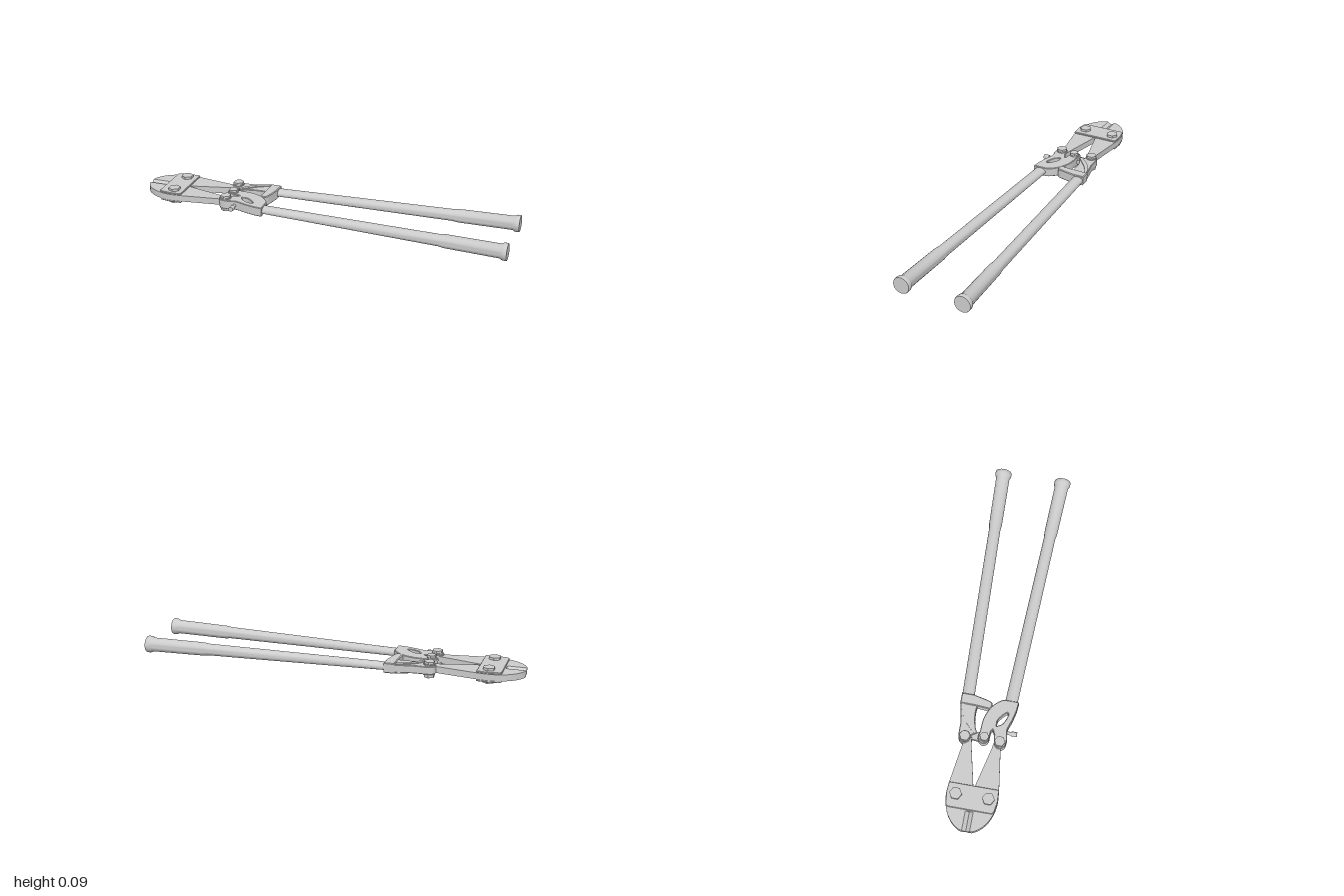
import * as THREE from 'three';
import { toCreasedNormals } from 'three/addons/utils/BufferGeometryUtils.js';

const MID = 0.046; // height of the symmetry plane
const grey = new THREE.MeshStandardMaterial({ color: 0xcccccc });

function part(name, geometry, parent) {
  const mesh = new THREE.Mesh(toCreasedNormals(geometry, 0.6), grey);
  mesh.name = name;
  parent.add(mesh);
  return mesh;
}

// Flat piece from an outline of [x, z] points, from height y0 to y1
function plate(points, y0, y1, { bevel = 0, hole = null, side = 1 } = {}) {
  const vec = (list) => list.map(([x, z]) => new THREE.Vector2(x, -z * side));
  const shape = new THREE.Shape(vec(points));
  if (hole) {
    const loop = new THREE.SplineCurve(vec([...hole, hole[0]])).getPoints(20);
    shape.holes.push(new THREE.Path(loop));
  }
  const geometry = new THREE.ExtrudeGeometry(shape, {
    depth: y1 - y0 - 2 * bevel, bevelEnabled: bevel > 0, bevelSize: bevel,
    bevelThickness: bevel, bevelOffset: -bevel, bevelSegments: 1,
  });
  return geometry.rotateX(-Math.PI / 2).translate(0, y0 + bevel, 0);
}

const centred = (points, half, options) => plate(points, MID - half, MID + half, options);

// Smooth run through a few [x, z] points
const curve = (points, n = 16) =>
  new THREE.SplineCurve(points.map((p) => new THREE.Vector2(...p))).getPoints(n).map((p) => [p.x, p.y]);

// Pivot bolt: shank with a hexagonal head and nut
function bolt(name, x, z, radius, half, head, parent) {
  const group = new THREE.Group();
  group.name = name;
  part('shank', new THREE.CylinderGeometry(radius * 0.7, radius * 0.7, 2 * half - head, 16), group);
  for (const s of [-1, 1]) {
    part('boltHead', new THREE.CylinderGeometry(radius, radius, head, 6), group).position.y = s * (half - head / 2);
    part('washer', new THREE.CylinderGeometry(radius * 1.05, radius * 1.05, 0.006, 20), group)
      .position.y = s * (half - head - 0.003);
  }
  group.position.set(x, MID, z);
  parent.add(group);
}

// Tubular handle, flattened towards the socket, with grip and end flange
function handle(name, zStart, zEnd, parent) {
  const xStart = -0.31, xGrip = 0.66;
  const profile = [[0, 0], [0.032, 0], [0.031, 0.96], [0.035, 0.99], [0.037, 1.275],
    [0.043, 1.285], [0.0445, 1.295], [0.0445, 1.307], [0.043, 1.31], [0, 1.31]];
  const geometry = new THREE.LatheGeometry(profile.map((p) => new THREE.Vector2(...p)), 24);
  geometry.rotateZ(-Math.PI / 2);
  const pos = geometry.attributes.position;
  for (let i = 0; i < pos.count; i++) {
    const x = pos.getX(i);
    const t = THREE.MathUtils.clamp(x / (xGrip - xStart), 0, 1);
    pos.setY(i, pos.getY(i) * THREE.MathUtils.lerp(0.62, 1, t));
    pos.setZ(i, pos.getZ(i) + zStart + (zEnd - zStart) * x / 1.31);
  }
  part(name, geometry, parent).position.set(xStart, MID, 0);
}

export function createModel() {
  const model = new THREE.Group();
  model.name = 'boltCutter';

  // Jaws: curved nose, tapering arm and a bevelled cutting edge
  const nose = curve([[-1, 0.02], [-0.995, 0.04], [-0.97, 0.075], [-0.93, 0.105],
    [-0.88, 0.124], [-0.83, 0.131], [-0.77, 0.127]], 20);
  const jawOutline = [...nose, [-0.56, 0.097], [-0.51, 0.105], [-0.495, 0.085], [-0.51, 0.06],
    [-0.56, 0.053], [-0.77, 0.004], [-0.785, 0], [-0.9, 0], [-0.9, 0.02]];
  for (const side of [1, -1]) {
    const tag = side > 0 ? 'front' : 'back';
    part(tag + 'Jaw', centred(jawOutline, 0.017, { side }), model);
    const edge = new THREE.Shape([[-0.02 * side, -0.017], [0, -0.003], [0, 0.003], [-0.02 * side, 0.017]]
      .map((p) => new THREE.Vector2(...p)));
    const wedge = new THREE.ExtrudeGeometry(edge, { depth: 0.1, bevelEnabled: false });
    part(tag + 'CuttingEdge', wedge.rotateY(Math.PI / 2), model).position.set(-1, MID, 0);
    bolt(tag + 'JawBolt', -0.825, 0.083 * side, 0.032, 0.04, 0.014, model);
  }

  // Joining plates above and below the jaws
  const joint = [[-0.895, -0.112], [-0.885, -0.122], [-0.83, -0.131], [-0.77, -0.127],
    [-0.77, 0.127], [-0.83, 0.131], [-0.885, 0.122], [-0.895, 0.112]];
  part('upperJoiningPlate', plate(joint, MID + 0.017, MID + 0.027, { bevel: 0.002 }), model);
  part('lowerJoiningPlate', plate(joint, MID - 0.027, MID - 0.017, { bevel: 0.002 }), model);

  // Back socket: arm, raised rib and thick stop block
  const backArm = [
    ...curve([[-0.51, -0.06], [-0.545, -0.07], [-0.56, -0.095], [-0.545, -0.12], [-0.51, -0.128],
      [-0.45, -0.13], [-0.36, -0.147]], 24),
    [-0.33, -0.147], [-0.33, -0.06], [-0.36, -0.06],
    ...curve([[-0.375, -0.062], [-0.42, -0.06], [-0.47, -0.048], [-0.495, -0.035]], 8)];
  part('backSocketArm', centred(backArm, 0.021, { bevel: 0.003 }), model);
  const rib = [...curve([[-0.505, -0.045], [-0.47, -0.085], [-0.42, -0.122], [-0.355, -0.147]], 12),
    ...curve([[-0.355, -0.13], [-0.41, -0.105], [-0.455, -0.07], [-0.49, -0.04]], 12)];
  part('backSocketRib', centred(rib, 0.026), model);
  const backBlock = [[-0.355, -0.15], [-0.3, -0.15], [-0.3, -0.085],
    ...curve([[-0.304, -0.07], [-0.312, -0.03], [-0.322, 0.005], [-0.332, 0.014]], 8),
    [-0.355, 0.014], [-0.362, 0.004], [-0.357, -0.06]];
  part('backSocketBlock', centred(backBlock, 0.027, { bevel: 0.004 }), model);
  part('centreTongue', centred([[-0.53, -0.07], [-0.49, -0.06], [-0.485, 0.01], [-0.535, 0.01]], 0.011), model);

  // Front socket: curved arm to the centre pivot and straight arm to the jaw pivot
  const frontSocket = [
    ...curve([[-0.49, 0.052], [-0.54, 0.06], [-0.56, 0.085], [-0.545, 0.113], [-0.505, 0.12],
      [-0.455, 0.113], [-0.4, 0.13], [-0.345, 0.143]], 28),
    [-0.3, 0.147], [-0.3, 0.072],
    ...curve([[-0.303, 0.062], [-0.322, 0.035], [-0.36, 0.004], [-0.42, -0.018], [-0.48, -0.022],
      [-0.525, -0.027], [-0.548, 0], [-0.53, 0.027], [-0.48, 0.032], [-0.465, 0.04]], 36)];
  const slot = [[-0.445, 0.056], [-0.41, 0.058], [-0.367, 0.094], [-0.38, 0.104], [-0.425, 0.085]];
  part('frontSocket', centred(frontSocket, 0.025, { bevel: 0.003, hole: slot }), model);

  // Pivot bolts behind the jaws
  bolt('backPivotBolt', -0.525, -0.093, 0.028, 0.042, 0.012, model);
  bolt('frontPivotBolt', -0.525, 0.087, 0.028, 0.042, 0.012, model);
  bolt('centrePivotBolt', -0.513, 0.005, 0.024, 0.042, 0.012, model);

  // Adjusting screw through the front socket
  const screw = new THREE.CylinderGeometry(0.009, 0.009, 0.12, 12).rotateX(Math.PI / 2);
  part('adjustingScrew', screw, model).position.set(-0.465, MID, 0.1);
  const screwHead = new THREE.CylinderGeometry(0.013, 0.013, 0.03, 12).rotateX(Math.PI / 2);
  part('adjustingScrewHead', screwHead, model).position.set(-0.465, MID, 0.15);

  handle('backHandle', -0.117, -0.165, model);
  handle('frontHandle', 0.107, 0.165, model);
  return model;
}
